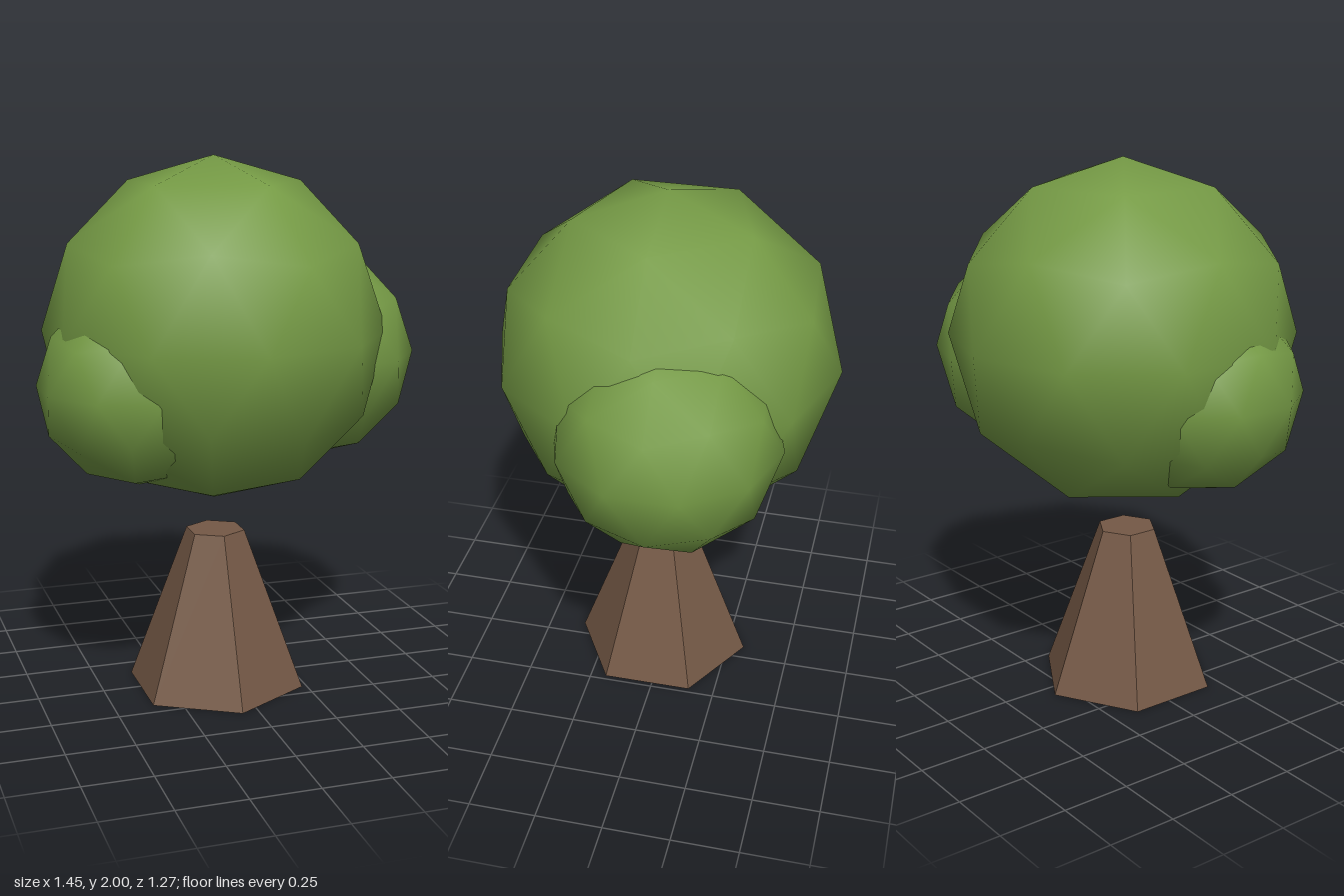
import * as THREE from 'three';

// Icosphere standing on a pole, one subdivision, smooth normals
function icosphere() {
  const ringY = 1 / Math.sqrt(5), ringR = 2 / Math.sqrt(5);
  const verts = [0, 1, 0];
  for (const [offset, y] of [[0, ringY], [Math.PI / 5, -ringY]]) {
    for (let k = 0; k < 5; k++) {
      const a = offset + k * Math.PI * 2 / 5;
      verts.push(ringR * Math.cos(a), y, -ringR * Math.sin(a));
    }
  }
  verts.push(0, -1, 0);
  const faces = [];
  for (let k = 0; k < 5; k++) {
    const n = (k + 1) % 5;
    const u = 1 + k, un = 1 + n, l = 6 + k, ln = 6 + n;
    faces.push(0, u, un, u, l, un, l, ln, un, 11, ln, l);
  }
  return new THREE.PolyhedronGeometry(verts, faces, 1, 1);
}

export function createModel() {
  const model = new THREE.Group();
  model.name = 'tree';

  const bark = new THREE.MeshStandardMaterial({ color: 0x755946 });
  bark.flatShading = true;
  const leaves = new THREE.MeshStandardMaterial({ color: 0x759a45 });

  // Tapered six-sided trunk, with a gap below the crown
  const height = 0.61;
  const trunk = new THREE.Mesh(new THREE.CylinderGeometry(0.112, 0.339, height, 6), bark);
  trunk.name = 'trunk';
  trunk.position.set(-0.062, height / 2, 0.02);
  model.add(trunk);

  // Three overlapping foliage clumps
  const crown = new THREE.Group();
  crown.name = 'crown';
  const ball = icosphere();
  const clumps = [
    ['mainFoliage', 0.636, -0.06, 1.364, 0],
    ['leftFoliage', 0.412, 0.33, 1.255, -0.085],
    ['rightFoliage', 0.365, -0.378, 1.195, 0.11],
  ];
  for (const [name, radius, x, y, z] of clumps) {
    const clump = new THREE.Mesh(ball, leaves);
    clump.name = name;
    clump.scale.setScalar(radius);
    clump.position.set(x, y, z);
    crown.add(clump);
  }
  model.add(crown);
  return model;
}
